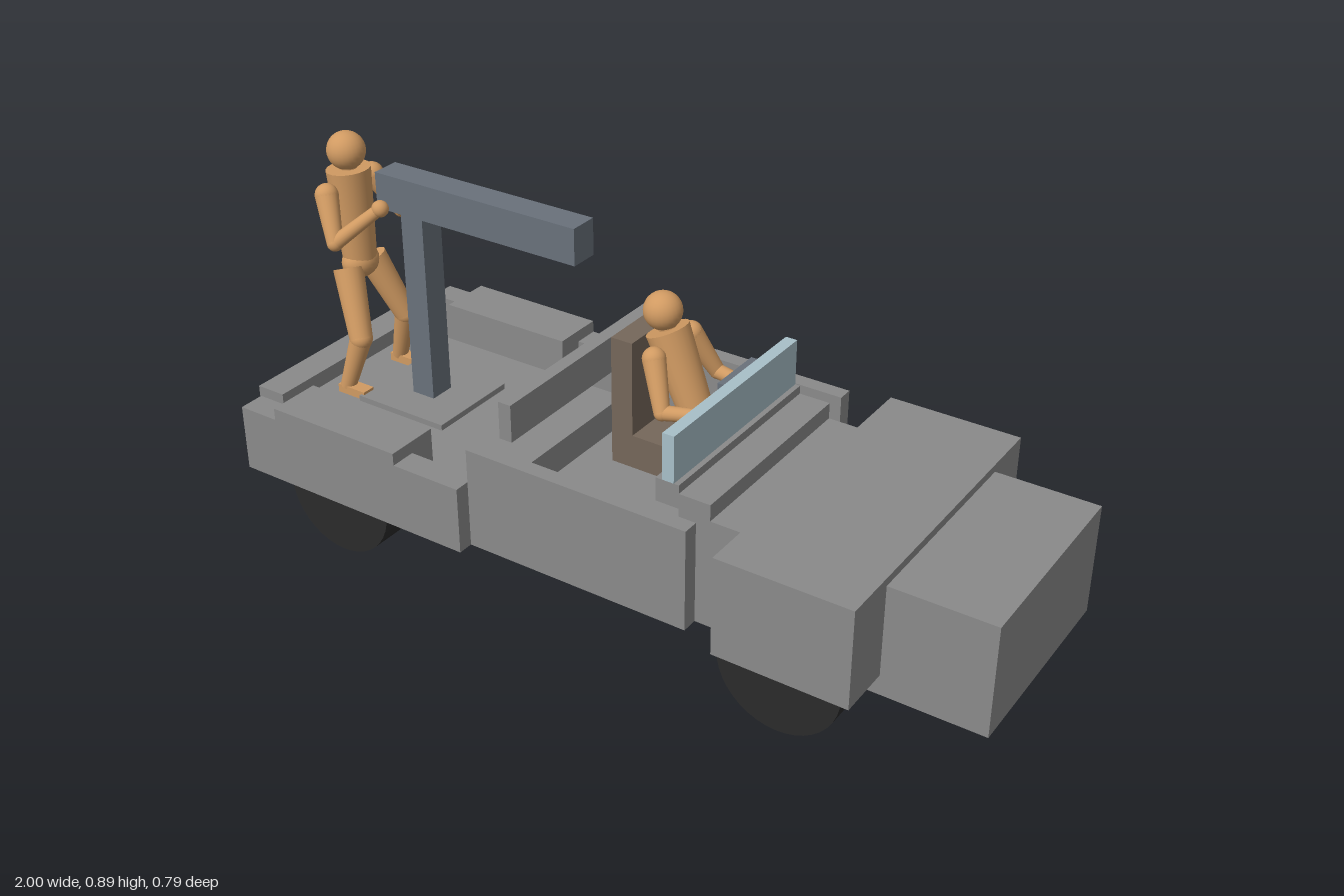
import * as THREE from 'three';

const mat = (name, color, extra) => Object.assign(new THREE.MeshStandardMaterial({ color }), { name });
const V = (x, y, z) => new THREE.Vector3(x, y, z);

export function createModel() {
  const model = new THREE.Group();
  model.name = 'openTruck';
  const body = mat('bodyGrey', 0x8a8a8a);
  const tyre = mat('tyreBlack', 0x2b2b2b);
  const slate = mat('slateMetal', 0x69717b);
  const seat = mat('seatBrown', 0x75675a);
  const glass = mat('windshieldBlue', 0xa8bfc8);
  const skin = mat('figureTan', 0xd09a62);

  // Box given by its limits on each axis
  function box(name, m, [x0, x1], [y0, y1], [z0, z1]) {
    const mesh = new THREE.Mesh(new THREE.BoxGeometry(x1 - x0, y1 - y0, z1 - z0), m);
    mesh.position.set((x0 + x1) / 2, (y0 + y1) / 2, (z0 + z1) / 2);
    mesh.name = name;
    model.add(mesh);
  }
  const W = [-0.26, 0.26];

  // Hull, bed and hood
  box('cockpitFloor', body, [-0.255, 0.33], [0.08, 0.15], W);
  box('bedFloor', body, [-0.92, -0.255], [0.08, 0.23], W);
  box('tailgate', body, [-1, -0.92], [0.08, 0.27], W);
  box('hood', body, [0.33, 1], [0.08, 0.357], W);
  box('frontFenders', body, [0.42, 0.75], [0.13, 0.377], [-0.396, 0.396]);
  box('cowl', body, [0.25, 0.33], [0.15, 0.398], W);
  box('windshieldBase', body, [0.19, 0.25], [0.36, 0.419], W);
  box('windshield', glass, [0.207, 0.237], [0.419, 0.536], W);
  box('crossRail', body, [-0.21, -0.176], [0.397, 0.492], [-0.29, 0.29]);

  // Side panels and wheels, mirrored
  for (const s of [-1, 1]) {
    const span = (a, b) => (s > 0 ? [a, b] : [-b, -a]);
    box('rearSidePanel', body, [-0.92, -0.255], [0.13, 0.3], span(0.33, 0.396));
    box('rearWheelBox', body, [-0.81, -0.44], [0.13, 0.331], span(0.26, 0.396));
    box('door', body, [-0.255, 0.33], [0.13, 0.385], span(0.317, 0.357));
    for (const x of [-0.625, 0.583]) {
      const wheel = new THREE.Mesh(new THREE.CylinderGeometry(0.149, 0.149, 0.124, 40), tyre);
      wheel.name = 'wheel';
      wheel.rotation.x = Math.PI / 2;
      wheel.position.set(x, 0.149, s * 0.333);
      model.add(wheel);
    }
  }

  // Driver's seat and wheel block
  box('seatBack', seat, [-0.176, -0.116], [0.15, 0.492], [-0.26, -0.1]);
  box('seatCushion', seat, [-0.116, 0.06], [0.15, 0.24], [-0.26, -0.1]);
  box('steeringBlock', slate, [0.122, 0.162], [0.31, 0.461], [-0.25, -0.1]);

  // Mounted beam on its post
  box('mountPlate', body, [-0.79, -0.525], [0.225, 0.245], [-0.125, 0.125]);
  box('mountPost', slate, [-0.69, -0.625], [0.24, 0.732], [-0.034, 0.034]);
  box('mountBeam', slate, [-0.76, -0.177], [0.732, 0.824], [-0.037, 0.037]);

  // Figures made of tapered limbs and ball joints
  function ball(group, name, p, r, scale = [1, 1, 1]) {
    const mesh = new THREE.Mesh(new THREE.SphereGeometry(r, 24, 16), skin);
    mesh.position.copy(p);
    mesh.scale.set(...scale);
    mesh.name = name;
    group.add(mesh);
  }
  function limb(group, name, a, b, ra, rb, zScale = 1) {
    const dir = b.clone().sub(a);
    const mesh = new THREE.Mesh(new THREE.CylinderGeometry(rb, ra, dir.length(), 20), skin);
    mesh.position.copy(a).addScaledVector(dir, 0.5);
    mesh.quaternion.setFromUnitVectors(V(0, 1, 0), dir.normalize());
    mesh.scale.z = zScale;
    mesh.name = name;
    group.add(mesh);
  }
  function figure(name, z, p) {
    const g = new THREE.Group();
    g.name = name;
    g.position.z = z;
    const at = ([x, y, w = 0], s = 1) => V(x, y, w * s);
    ball(g, 'head', at(p.head), 0.048);
    limb(g, 'neck', at(p.neck), at(p.head), 0.022, 0.022);
    limb(g, 'torso', at(p.hip), at(p.neck), 0.04, 0.053, 1.1);
    ball(g, 'pelvis', at(p.hip), 0.042, [1, 1, 1.25]);
    for (const s of [-1, 1]) {
      limb(g, 'upperArm', at(p.shoulder, s), at(p.elbow, s), 0.029, 0.02);
      ball(g, 'shoulder', at(p.shoulder, s), 0.029);
      ball(g, 'elbow', at(p.elbow, s), 0.02);
      limb(g, 'forearm', at(p.elbow, s), at(p.hand, s), 0.019, 0.015);
      ball(g, 'hand', at(p.hand, s), 0.021);
      limb(g, 'thigh', at(p.thigh, s), at(p.knee, s), 0.038, 0.029);
      ball(g, 'knee', at(p.knee, s), 0.029);
      limb(g, 'shin', at(p.knee, s), at(p.ankle, s), 0.028, 0.02);
      const foot = new THREE.Mesh(new THREE.BoxGeometry(0.085, 0.022, 0.036), skin);
      foot.position.copy(at(p.ankle, s)).add(V(0.025, -0.004, 0));
      foot.name = 'foot';
      g.add(foot);
    }
    model.add(g);
  }
  figure('standingFigure', 0, {
    head: [-0.882, 0.84], neck: [-0.88, 0.795], hip: [-0.865, 0.55],
    shoulder: [-0.88, 0.752, 0.082], elbow: [-0.828, 0.653, 0.122], hand: [-0.738, 0.74, 0.052],
    thigh: [-0.868, 0.545, 0.043], knee: [-0.805, 0.385, 0.085], ankle: [-0.848, 0.245, 0.1],
  });
  figure('driver', -0.175, {
    head: [-0.078, 0.56], neck: [-0.065, 0.515], hip: [0.03, 0.29],
    shoulder: [-0.05, 0.475, 0.08], elbow: [0, 0.365, 0.122], hand: [0.155, 0.375, 0.075],
    thigh: [0.03, 0.28, 0.04], knee: [0.165, 0.33, 0.055], ankle: [0.18, 0.175, 0.06],
  });

  return model;
}
